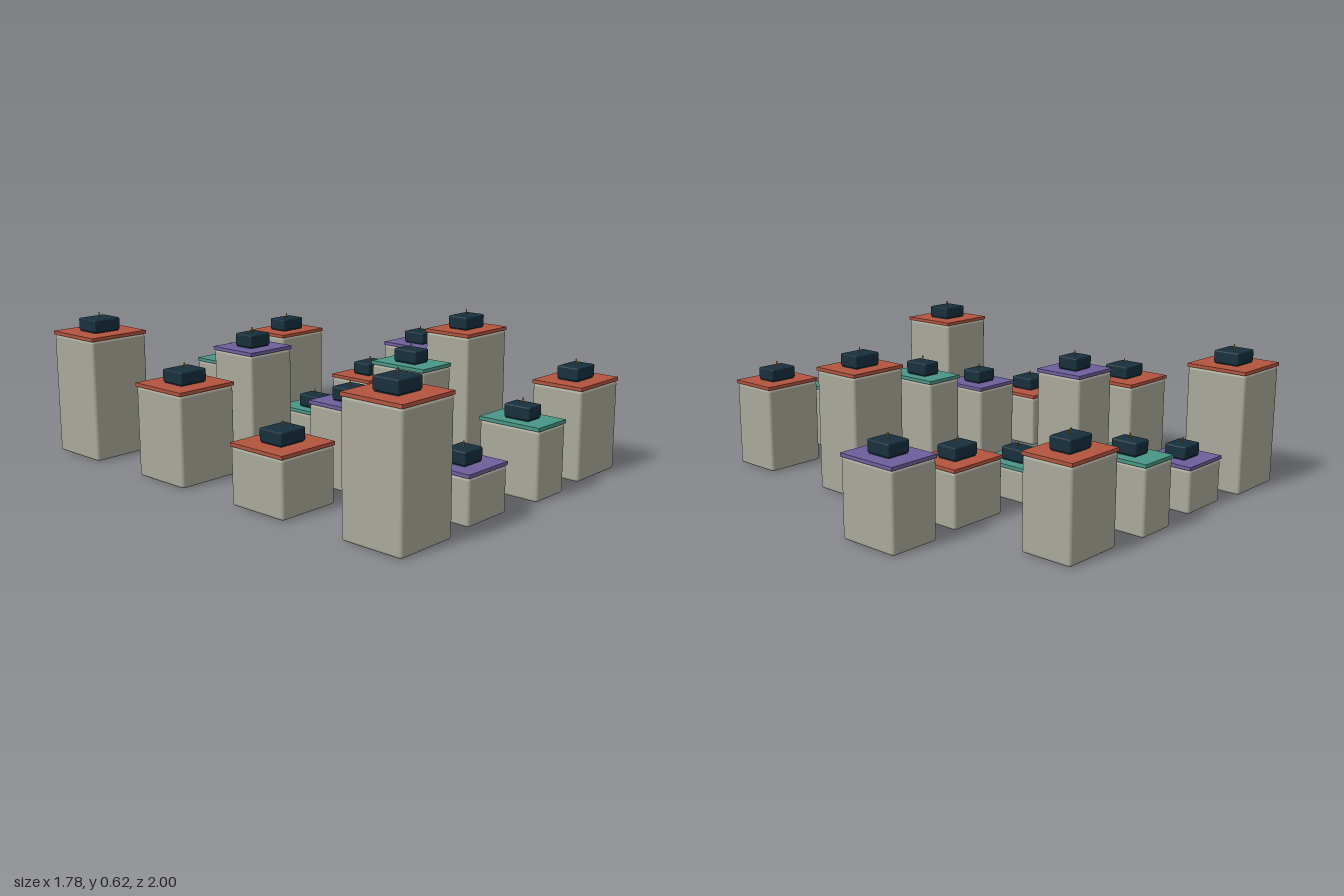
import * as THREE from 'three';
import { RoundedBoxGeometry } from 'three/addons/geometries/RoundedBoxGeometry.js';

const mat = (color) => new THREE.MeshStandardMaterial({ color });

export function createModel() {
  const model = new THREE.Group();
  model.name = 'cityBlocks';

  const wall = mat(0xa8a89a);
  const dark = mat(0x17303d);
  const gold = mat(0xb8934a);
  const roofs = [mat(0xb2543e), mat(0x6d5f9c), mat(0x489585)];

  // Footprints repeat every three columns in width, every two in depth
  const widths = [0.28, 0.234, 0.184];
  const depths = [0.28, 0.234];

  function add(parent, name, geometry, material, y) {
    const mesh = new THREE.Mesh(geometry, material);
    mesh.name = name;
    mesh.position.y = y;
    parent.add(mesh);
  }

  // One tower: bevelled body, flat roof slab, rooftop unit and thin mast
  function tower(w, d, top, roofMaterial) {
    const g = new THREE.Group();
    g.name = 'tower';
    const slab = 0.015;
    const body = top - slab;
    add(g, 'body', new RoundedBoxGeometry(w, body, d, 2, 0.012), wall, body / 2);
    add(g, 'roof', new THREE.BoxGeometry(w + 0.003, slab, d + 0.003), roofMaterial, top - slab / 2);
    add(g, 'rooftopUnit', new RoundedBoxGeometry(w * 0.475, 0.054, d * 0.425, 2, 0.007), dark, top + 0.031);
    add(g, 'mast', new THREE.CylinderGeometry(0.003, 0.003, 0.064, 8), gold, top + 0.05);
    // Short plinth hidden below the roof unit closes the gap to the slab
    add(g, 'unitBase', new THREE.BoxGeometry(w * 0.43, 0.012, d * 0.38), dark, top + 0.005);
    return g;
  }

  // Grid of towers; only the second row has a fifth column
  for (let row = 0; row < 4; row++) {
    const columns = row === 1 ? 5 : 4;
    for (let col = 0; col < columns; col++) {
      const level = (8 + 2 * col + 6 * row) % 9;
      const t = tower(widths[col % 3], depths[col % 2], 0.155 + 0.0483 * level, roofs[col % 3]);
      t.position.set(-0.749 + 0.38 * col, 0, -0.8585 + 0.5723 * row);
      model.add(t);
    }
  }
  return model;
}
